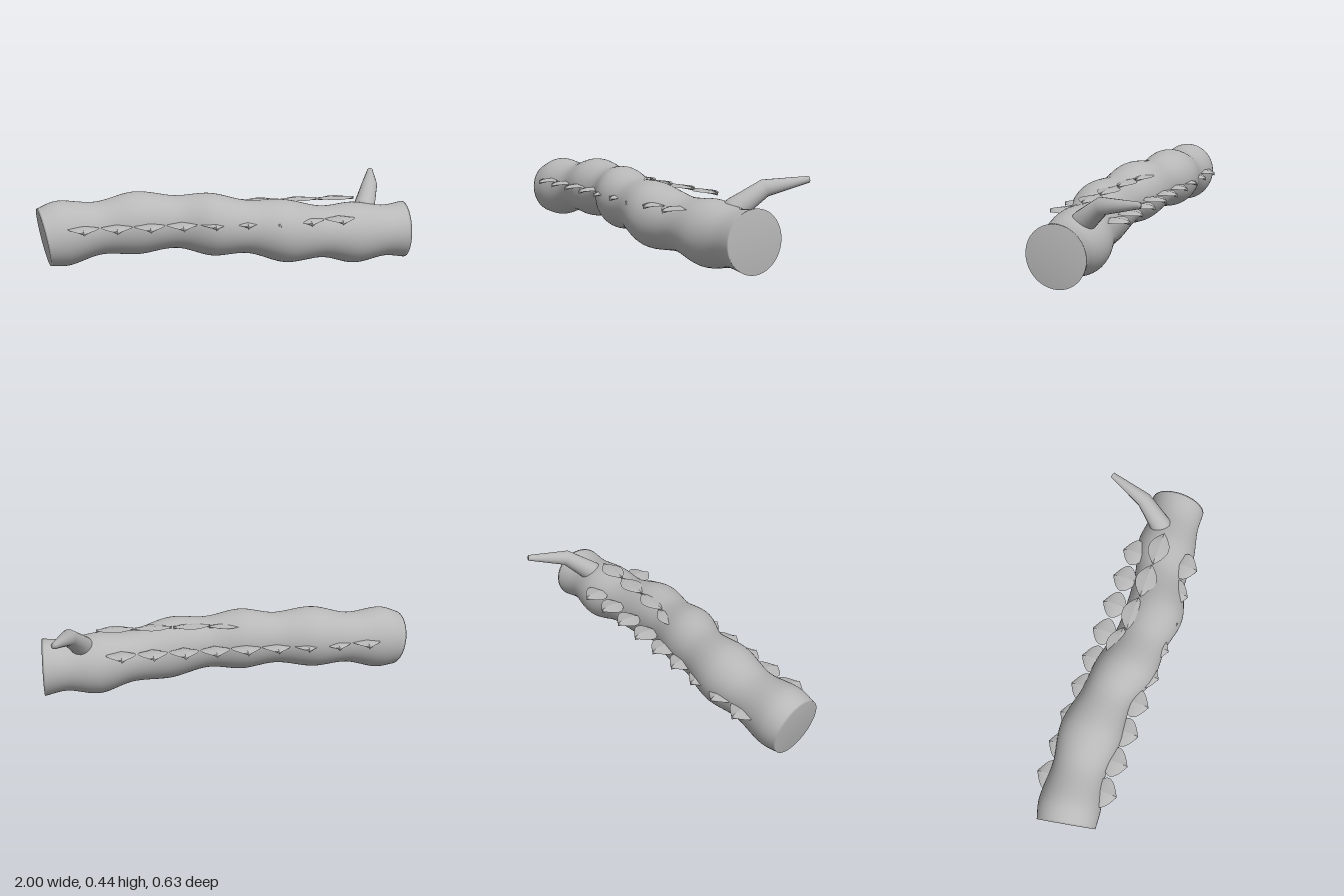
import * as THREE from 'three';

// Lofts a closed skin through equal-length rings of Vector3; the end caps share the rim vertices.
function loft(rings) {
  const n = rings[0].length, pos = [], idx = [];
  rings.forEach(r => r.forEach(p => pos.push(p.x, p.y, p.z)));
  for (let i = 0; i < rings.length - 1; i++) {
    for (let j = 0; j < n; j++) {
      const k = (j + 1) % n, a = i * n + j, b = i * n + k, c = a + n, d = b + n;
      idx.push(a, b, c, b, d, c);
    }
  }
  [0, rings.length - 1].forEach((ri, end) => {
    const mid = new THREE.Vector3(), centre = pos.length / 3;
    rings[ri].forEach(p => mid.addScaledVector(p, 1 / n));
    pos.push(mid.x, mid.y, mid.z);
    for (let j = 0; j < n; j++) {
      const a = ri * n + j, b = ri * n + (j + 1) % n;
      if (end) idx.push(centre, a, b); else idx.push(centre, b, a);
    }
  });
  const g = new THREE.BufferGeometry();
  g.setAttribute('position', new THREE.Float32BufferAttribute(pos, 3));
  g.setIndex(idx);
  g.computeVertexNormals();
  return g;
}

// Log outline stations: x, top y, bottom y, back z, front z
const STATIONS = [
  [-0.965, 0.365, 0.065, -0.045, 0.255], [-0.87, 0.40, 0.06, -0.07, 0.25],
  [-0.68, 0.385, 0.107, -0.067, 0.213], [-0.48, 0.43, 0.098, -0.10, 0.23],
  [-0.27, 0.405, 0.125, -0.06, 0.215], [-0.09, 0.42, 0.087, -0.045, 0.28],
  [0.10, 0.38, 0.097, -0.005, 0.283], [0.30, 0.38, 0.042, -0.005, 0.316],
  [0.52, 0.327, 0.047, -0.03, 0.262], [0.70, 0.335, 0.002, -0.075, 0.258],
  [0.88, 0.31, 0.03, -0.06, 0.225], [0.995, 0.323, 0.014, -0.086, 0.222],
];

function logGeometry() {
  const yCurve = new THREE.CatmullRomCurve3(STATIONS.map(s => new THREE.Vector3(s[0], s[1], s[2])));
  const zCurve = new THREE.CatmullRomCurve3(STATIONS.map(s => new THREE.Vector3(s[0], s[3], s[4])));
  const rings = [], steps = 110, sides = 48;
  for (let i = 0; i <= steps; i++) {
    const a = yCurve.getPoint(i / steps), b = zCurve.getPoint(i / steps);
    const cy = (a.y + a.z) / 2, ry = (a.y - a.z) / 2;
    const cz = (b.y + b.z) / 2, rz = (b.z - b.y) / 2;
    // the left end is cut at a slant that fades along the log
    const slant = 0.17 * Math.max(0, 1 - (a.x + 0.965) / 0.6);
    const ring = [];
    for (let j = 0; j < sides; j++) {
      const t = j / sides * Math.PI * 2;
      const dy = ry * Math.cos(t), dz = rz * Math.sin(t);
      ring.push(new THREE.Vector3(a.x + slant * (dz - dy), cy + dy, cz + dz));
    }
    rings.push(ring);
  }
  return loft(rings);
}

// Thin pointed leaf lying along z, diamond in section, arched along its length, with faceted faces
function leafGeometry(length, width, thick, arch) {
  const rings = [], steps = 12;
  for (let i = 0; i <= steps; i++) {
    const t = i / steps, z = (t - 0.5) * length;
    const w = Math.max(0.001, width / 2 * Math.pow(Math.sin(Math.PI * t), 0.9));
    const y = -arch * 4 * (t - 0.5) ** 2, h = thick / 2;
    rings.push([[w, 0], [0, h], [-w, 0], [0, -h]].map(p => new THREE.Vector3(p[0], y + p[1], z)));
  }
  const g = loft(rings).toNonIndexed();
  g.computeVertexNormals();
  return g;
}

// Broken branch: a tapering bent cylinder
function branchGeometry() {
  const spine = [[0.765, 0.25, 0.07], [0.785, 0.295, 0.02], [0.85, 0.39, -0.10], [0.92, 0.425, -0.312]]
    .map(p => new THREE.Vector3(...p));
  const radii = [0.062, 0.058, 0.043, 0.016], sides = 20;
  const rings = spine.map((p, i) => {
    const dir = spine[Math.min(i + 1, 3)].clone().sub(p).normalize();
    if (i > 0) dir.add(p.clone().sub(spine[i - 1]).normalize()).normalize();
    const u = new THREE.Vector3(1, 0, 0).addScaledVector(dir, -dir.x).normalize();
    const v = dir.clone().cross(u);
    return Array.from({ length: sides }, (_, j) => {
      const t = j / sides * Math.PI * 2;
      return p.clone().addScaledVector(u, radii[i] * Math.cos(t)).addScaledVector(v, radii[i] * Math.sin(t));
    });
  });
  return loft(rings);
}

export function createModel() {
  const model = new THREE.Group();
  const bark = new THREE.MeshStandardMaterial({ color: 0xb8b8b8 });
  bark.name = 'grey bark';

  const add = (name, geometry, x = 0, y = 0, z = 0, ry = 0) => {
    const mesh = new THREE.Mesh(geometry, bark);
    mesh.name = name;
    mesh.position.set(x, y, z);
    mesh.rotation.y = ry;
    model.add(mesh);
  };

  add('log', logGeometry());
  add('branch', branchGeometry());

  // Rows of leaves along both sides
  const side = leafGeometry(0.14, 0.16, 0.02, 0.012);
  for (let i = 0; i < 9; i++) {
    const x = -0.76 + i * 0.168;
    add('frontLeaf', side, x, 0.287, 0.236);
    add('backLeaf', side, x, 0.26, -0.058, Math.PI);
  }

  // Leaves on top, lying along the log
  const top = leafGeometry(0.2, 0.115, 0.016, 0.003);
  [[0.0, 0.04], [0.19, 0.06], [0.4, 0.066], [0.605, 0.07]].forEach(([x, z]) =>
    add('topLeaf', top, x, 0.361, z, Math.PI / 2));

  return model;
}
